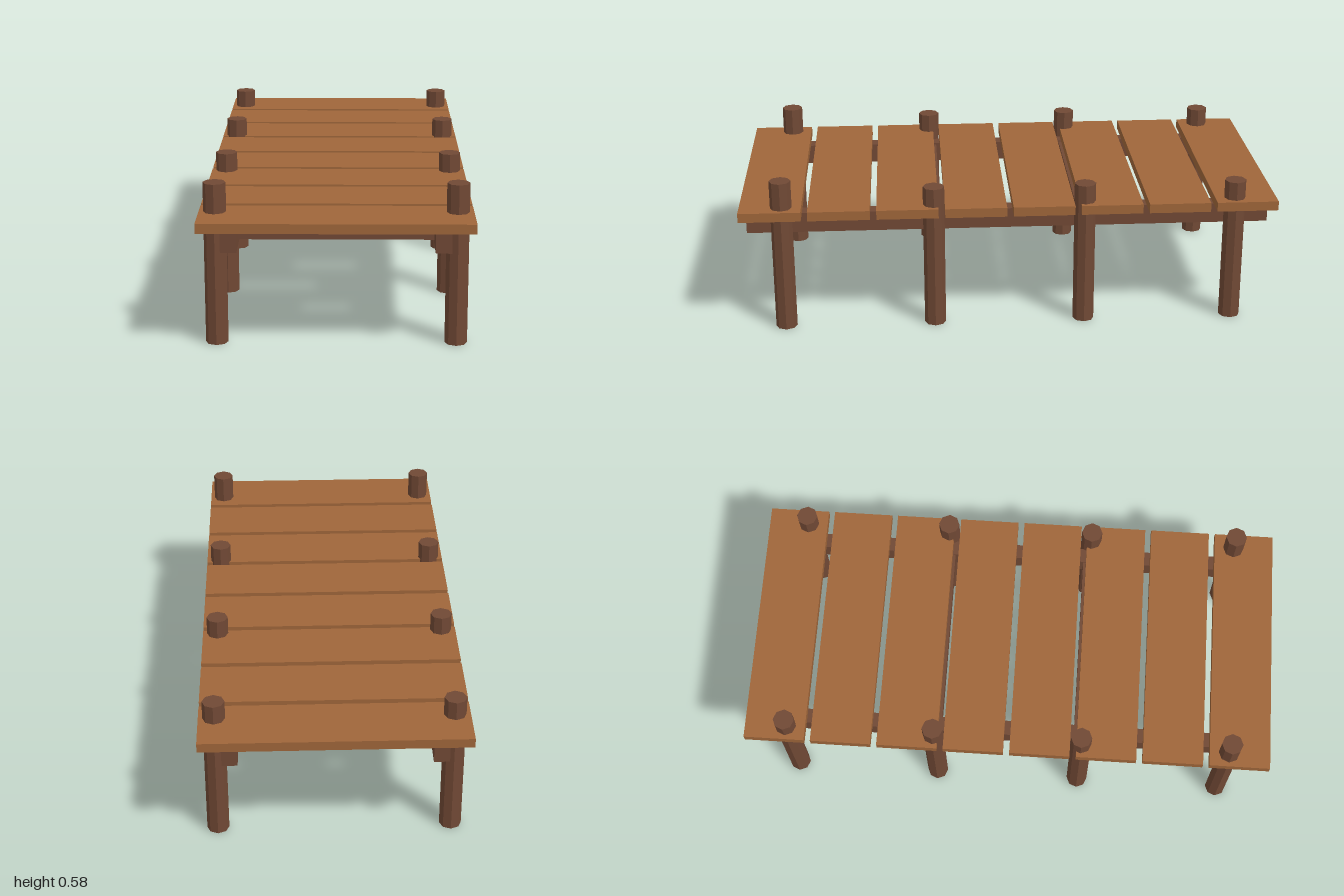
import * as THREE from 'three';

export function createModel() {
  const group = new THREE.Group();
  const plankWood = new THREE.MeshStandardMaterial({ color: 0x9f663a });
  plankWood.name = 'plankWood';
  const postWood = new THREE.MeshStandardMaterial({ color: 0x714935, flatShading: true });
  postWood.name = 'postWood';

  const add = (name, geometry, material, x, y, z) => {
    const mesh = new THREE.Mesh(geometry, material);
    mesh.name = name;
    mesh.position.set(x, y, z);
    group.add(mesh);
  };

  // Deck planks, evenly spaced with narrow gaps
  const count = 8, depth = 0.229, pitch = (2 - depth) / (count - 1);
  const plank = new THREE.BoxGeometry(0.956, 0.035, depth);
  for (let i = 0; i < count; i++) {
    add('deckPlank', plank, plankWood, 0, 0.4625, (i - (count - 1) / 2) * pitch);
  }

  // Long side beams under the deck
  const beam = new THREE.BoxGeometry(0.056, 0.075, 1.955);
  for (const side of [-1, 1]) add('sideBeam', beam, postWood, side * 0.368, 0.4075, 0);

  // Round posts, the front pair taller, with a cross beam between each pair
  const crossBeam = new THREE.BoxGeometry(0.76, 0.053, 0.055);
  for (const z of [-0.845, -0.282, 0.282, 0.845]) {
    const height = z > 0.5 ? 0.585 : 0.55;
    const post = new THREE.CylinderGeometry(0.04, 0.04, height, 8);
    for (const side of [-1, 1]) add('post', post, postWood, side * 0.4225, height / 2, z);
    add('crossBeam', crossBeam, postWood, 0, 0.4135, z);
  }
  return group;
}
